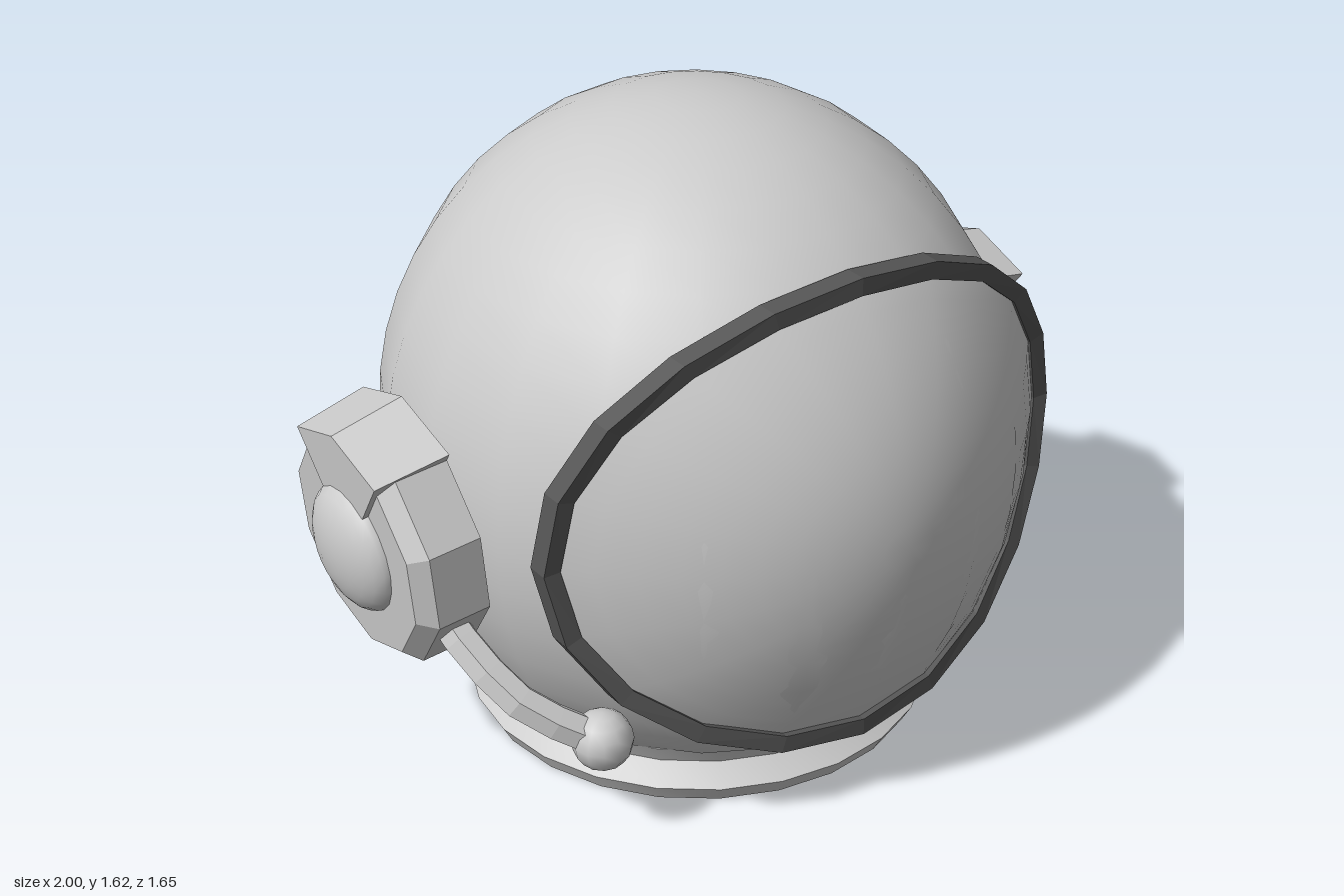
import * as THREE from 'three';
import { mergeVertices, toCreasedNormals } from 'three/addons/utils/BufferGeometryUtils.js';

const CX = 0.02; // helmet axis
const smooth = new THREE.MeshStandardMaterial({ color: 0xcccccc });
const thin = new THREE.MeshStandardMaterial({ color: 0xcccccc, side: THREE.DoubleSide });
const inside = new THREE.MeshStandardMaterial({ color: 0xcccccc, side: THREE.BackSide });
const flat = new THREE.MeshStandardMaterial({ color: 0xcccccc, flatShading: true, side: THREE.DoubleSide });
const dark = new THREE.MeshStandardMaterial({ color: 0x555555, flatShading: true });

function add(parent, name, geometry, material) {
  const mesh = new THREE.Mesh(geometry, material);
  mesh.name = name;
  parent.add(mesh);
  return mesh;
}

const points = (list) => list.map(([x, y]) => new THREE.Vector2(x, y));

// Edge of the face opening: an oval bent around the helmet
const SIDES = 20;
const rimDepth = (s) => 0.43 + 0.2 * s * s - 0.03 * s;

function rimGeometry() {
  const corners = [[-0.022, -0.028], [0.022, -0.028], [0.022, 0.028], [-0.022, 0.028]];
  const pos = [], index = [];
  for (let i = 0; i < SIDES; i++) {
    const t = (i / SIDES) * Math.PI * 2, c = Math.cos(t), s = Math.sin(t);
    for (const [dr, dz] of corners) {
      pos.push(CX + (0.723 + dr) * c, 0.785 + (0.575 + dr) * s, rimDepth(s) + dz);
    }
    for (let k = 0; k < 4; k++) {
      const j = (i + 1) % SIDES, n = (k + 1) % 4;
      const a = i * 4 + k, b = j * 4 + k, d = j * 4 + n, e = i * 4 + n;
      index.push(a, b, d, a, d, e);
    }
  }
  const g = new THREE.BufferGeometry();
  g.setAttribute('position', new THREE.Float32BufferAttribute(pos, 3));
  g.setIndex(index);
  const out = g.toNonIndexed();
  out.computeVertexNormals();
  return out;
}

// Domed visor reaching from its middle to the rim
function visorGeometry() {
  let g = new THREE.RingGeometry(0, 1, SIDES, 10);
  const p = g.attributes.position;
  for (let i = 0; i < p.count; i++) {
    const x = p.getX(i), y = p.getY(i), r = Math.hypot(x, y);
    const edge = rimDepth(r > 0 ? y / r : 0);
    p.setXYZ(i, CX + 0.72 * x, 0.785 + 0.572 * y, 0.828 - (0.828 - edge) * r * r);
  }
  g.deleteAttribute('uv');
  g.deleteAttribute('normal');
  g = mergeVertices(g, 1e-4);
  g.computeVertexNormals();
  return g;
}

// Ten-sided ear pad built along +x, with a raised cap on top and a round dome
function earPad(name) {
  const holder = new THREE.Group();
  holder.name = name;
  const ear = new THREE.Group();
  ear.position.set(0.75, 0.7, -0.05);
  ear.rotation.z = -Math.PI / 2 - 0.09;
  holder.add(ear);

  const body = points([[0, 0], [0.31, 0], [0.31, 0.135], [0.27, 0.175], [0, 0.175]]);
  add(ear, 'earBody', new THREE.LatheGeometry(body, 10, Math.PI / 2).toNonIndexed(), flat);

  const step = Math.PI / 5, start = Math.PI * 1.5 - step;
  const cap = points([[0.15, 0], [0.338, 0], [0.31, 0.19], [0.15, 0.19], [0.15, 0]]);
  add(ear, 'earCap', new THREE.LatheGeometry(cap, 2, start, step * 2).toNonIndexed(), flat);
  for (const phi of [start, start + step * 2]) {
    const end = add(ear, 'earCapEnd', new THREE.ShapeGeometry(new THREE.Shape(cap.slice(0, 4))), flat);
    end.rotation.y = phi - Math.PI / 2;
  }

  const dome = add(ear, 'earDome', new THREE.SphereGeometry(1, 20, 12), smooth);
  dome.scale.set(0.165, 0.082, 0.165);
  dome.position.y = 0.168;
  return holder;
}

export function createModel() {
  const model = new THREE.Group();
  model.name = 'helmet';

  // Helmet shell, outer and inner, cut open at the neck
  for (const [name, k, material] of [['shell', 1, smooth], ['shellLining', 0.955, inside]]) {
    const g = new THREE.SphereGeometry(1, 20, 18, 0, Math.PI * 2, 0, Math.acos(-0.705));
    const shell = add(model, name, g, material);
    shell.scale.set(0.78 * k, 0.865 * k, 0.825 * k);
    shell.position.set(CX, 0.75, 0);
  }

  // Visor and its dark frame
  add(model, 'visor', visorGeometry(), thin);
  add(model, 'visorFrame', rimGeometry(), dark);

  // Neck ring
  const ring = points([[0.515, 0.175], [0.515, 0], [0.57, 0], [0.595, 0.045],
    [0.54, 0.09], [0.565, 0.14], [0.515, 0.175]]);
  const collar = add(model, 'neckRing',
    toCreasedNormals(new THREE.LatheGeometry(ring, 24), 0.7), thin);
  collar.position.x = CX;

  // Ear pads on both sides
  model.add(earPad('leftEarPad'));
  const right = earPad('rightEarPad');
  right.rotation.y = Math.PI;
  right.children[0].position.z = 0.05;
  model.add(right);

  // Microphone arm from the right ear pad to the front
  const path = new THREE.CatmullRomCurve3([
    new THREE.Vector3(-0.83, 0.64, 0.06), new THREE.Vector3(-0.8, 0.51, 0.22),
    new THREE.Vector3(-0.73, 0.39, 0.36), new THREE.Vector3(-0.6, 0.3, 0.45),
  ]);
  add(model, 'microphoneArm', new THREE.TubeGeometry(path, 6, 0.045, 6).toNonIndexed(), flat);
  const mic = add(model, 'microphone', new THREE.SphereGeometry(0.075, 12, 8), smooth);
  mic.position.set(-0.58, 0.29, 0.46);

  return model;
}
